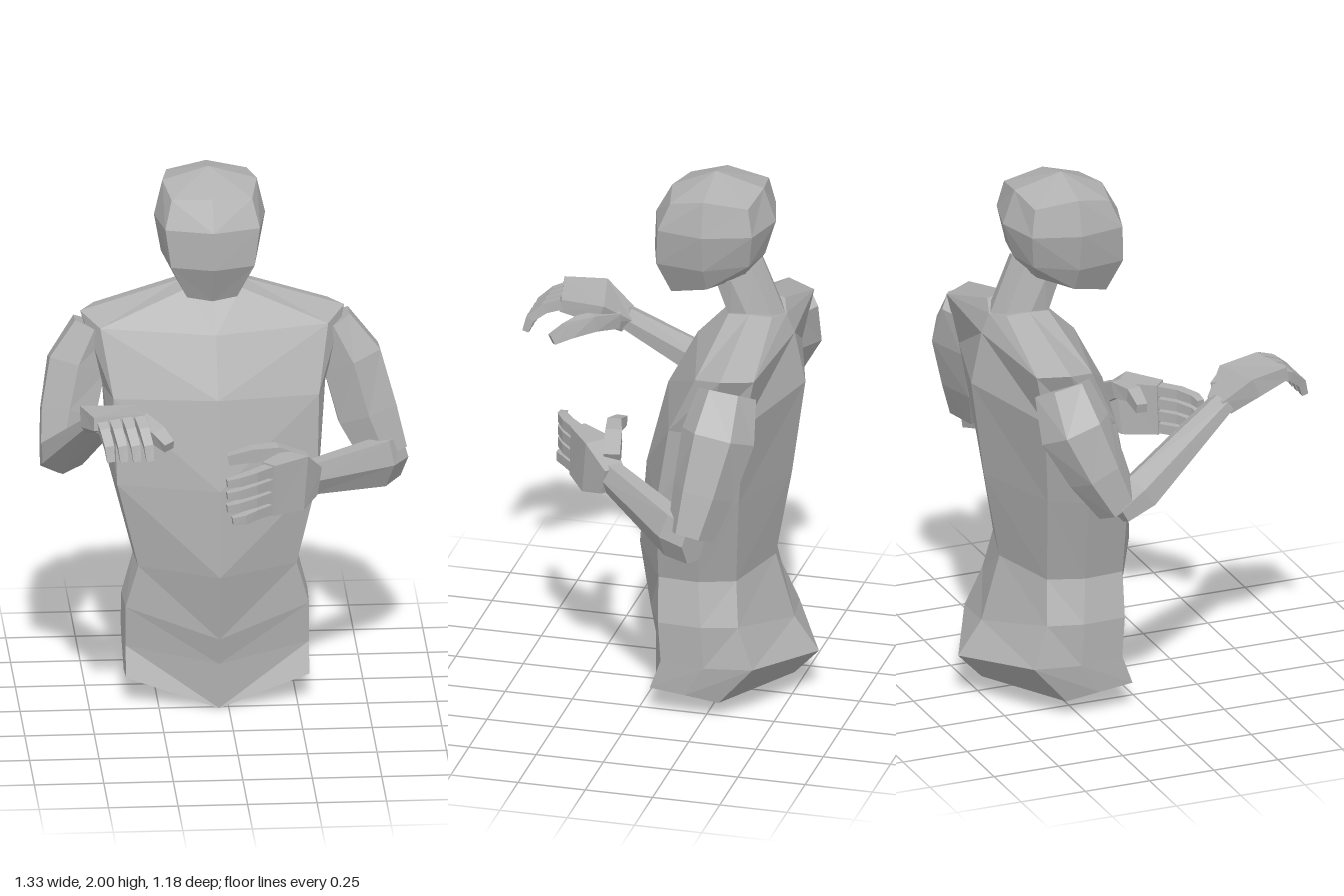
import * as THREE from 'three';

const skin = new THREE.MeshStandardMaterial({ color: 0xb0b0b0, flatShading: true });
skin.name = 'grey clay';

const average = (ring) => ring
  .reduce((sum, p) => sum.add(p), new THREE.Vector3())
  .divideScalar(ring.length);

// Skins a stack of rings and closes both ends with fans.
function skinRings(name, rings, start = average(rings[0]), end = average(rings[rings.length - 1])) {
  const out = [];
  const tri = (...pts) => pts.forEach((p) => out.push(p.x, p.y, p.z));
  const n = rings[0].length;
  const last = rings[rings.length - 1];
  for (let k = 0; k < n; k++) {
    const m = (k + 1) % n;
    for (let i = 0; i < rings.length - 1; i++) {
      const a = rings[i], b = rings[i + 1];
      // Diagonals mirror between the two halves
      if (k < n / 2) {
        tri(a[k], a[m], b[m]);
        tri(a[k], b[m], b[k]);
      } else {
        tri(a[k], a[m], b[k]);
        tri(a[m], b[m], b[k]);
      }
    }
    tri(start, rings[0][m], rings[0][k]);
    tri(end, last[k], last[m]);
  }
  const geo = new THREE.BufferGeometry();
  geo.setAttribute('position', new THREE.Float32BufferAttribute(out, 3));
  geo.computeVertexNormals();
  const mesh = new THREE.Mesh(geo, skin);
  mesh.name = name;
  return mesh;
}

// Mirrors a half section (front centre ... back centre) into a full ring.
function mirrorRing(half, cx) {
  const left = half.map(([x, y, z]) => new THREE.Vector3(cx + x, y, z));
  const right = half.slice(1, -1).reverse().map(([x, y, z]) => new THREE.Vector3(cx - x, y, z));
  return [...left, ...right];
}

// Lofts along [x, y, z, halfWidth, halfThickness]; width follows the hint axis.
function loft(name, path, sides, hint) {
  const pts = path.map(([x, y, z]) => new THREE.Vector3(x, y, z));
  const grow = sides === 4 ? Math.SQRT2 : 1.08;
  const rings = path.map(([, , , w, h], i) => {
    const t = pts[Math.min(i + 1, pts.length - 1)].clone()
      .sub(pts[Math.max(i - 1, 0)]).normalize();
    const u = new THREE.Vector3(...hint);
    u.addScaledVector(t, -u.dot(t)).normalize();
    const v = t.clone().cross(u);
    return Array.from({ length: sides }, (_, k) => {
      const a = ((k + 0.5) / sides) * Math.PI * 2;
      return pts[i].clone()
        .addScaledVector(u, Math.cos(a) * w * grow)
        .addScaledVector(v, Math.sin(a) * h * grow);
    });
  });
  return skinRings(name, rings);
}

export function createModel() {
  const model = new THREE.Group();
  model.name = 'upperBody';
  const cx = -0.035;

  // Torso: hips, waist, chest, shoulders, neck base
  const torso = [
    [[0, 0, 0.016], [0.33, 0.1, -0.05], [0.33, 0.085, -0.18], [0.31, 0.06, -0.3], [0, 0.07, -0.5]],
    [[0, 0.17, 0.016], [0.33, 0.21, -0.09], [0.335, 0.2, -0.25], [0.325, 0.21, -0.43], [0, 0.165, -0.59]],
    [[0, 0.27, 0.035], [0.33, 0.36, -0.08], [0.335, 0.36, -0.24], [0.3, 0.36, -0.37], [0, 0.29, -0.5]],
    [[0, 0.52, 0.075], [0.285, 0.52, -0.07], [0.295, 0.52, -0.22], [0.25, 0.52, -0.35], [0, 0.53, -0.43]],
    [[0, 0.84, 0.05], [0.36, 0.83, -0.08], [0.38, 0.85, -0.24], [0.33, 0.86, -0.38], [0, 0.86, -0.49]],
    [[0, 1.16, -0.03], [0.37, 1.14, -0.13], [0.4, 1.15, -0.25], [0.4, 1.2, -0.42], [0, 1.22, -0.54]],
    [[0, 1.37, -0.14], [0.41, 1.37, -0.24], [0.475, 1.4, -0.35], [0.42, 1.39, -0.46], [0, 1.41, -0.5]],
    [[0, 1.48, -0.26], [0.1, 1.5, -0.28], [0.11, 1.51, -0.36], [0.09, 1.5, -0.44], [0, 1.48, -0.47]],
  ];
  model.add(skinRings('torso', torso.map((r) => mirrorRing(r, cx)),
    new THREE.Vector3(cx, 0.03, -0.24)));

  // Neck leans forward into the head
  const neck = [
    [[0, 1.45, -0.27], [0.09, 1.46, -0.29], [0.1, 1.48, -0.36], [0.07, 1.48, -0.44], [0, 1.47, -0.47]],
    [[0, 1.6, -0.21], [0.08, 1.61, -0.23], [0.1, 1.63, -0.29], [0.07, 1.67, -0.36], [0, 1.69, -0.38]],
  ];
  model.add(skinRings('neck', neck.map((r) => mirrorRing(r, cx))));

  // Head: jaw, cheeks, brow, crown
  const head = [
    [[0, 1.54, -0.04], [0.09, 1.55, -0.06], [0.13, 1.59, -0.2], [0.09, 1.64, -0.33], [0, 1.66, -0.36]],
    [[0, 1.68, 0.025], [0.15, 1.68, -0.02], [0.175, 1.68, -0.2], [0.13, 1.7, -0.36], [0, 1.7, -0.385]],
    [[0, 1.82, 0.02], [0.17, 1.82, -0.03], [0.2, 1.82, -0.2], [0.165, 1.83, -0.38], [0, 1.83, -0.425]],
    [[0, 1.93, -0.04], [0.145, 1.92, -0.07], [0.17, 1.95, -0.2], [0.145, 1.93, -0.36], [0, 1.955, -0.38]],
  ];
  model.add(skinRings('head', head.map((r) => mirrorRing(r, -0.055)),
    undefined, new THREE.Vector3(-0.06, 2, -0.2)));

  // Left arm, folded across the belly
  const up = [0, 1, 0], side = [1, 0, 0];
  model.add(
    loft('leftUpperArm', [
      [0.395, 1.34, -0.365, 0.075, 0.1], [0.465, 1.2, -0.35, 0.115, 0.125],
      [0.52, 1.0, -0.31, 0.115, 0.105], [0.58, 0.85, -0.28, 0.09, 0.08],
    ], 6, side),
    loft('leftForearm', [
      [0.615, 0.84, -0.3, 0.08, 0.055], [0.56, 0.845, -0.21, 0.09, 0.06],
      [0.27, 0.905, 0.1, 0.06, 0.045],
    ], 6, up),
    loft('leftPalm', [
      [0.29, 0.9, 0.09, 0.05, 0.04], [0.225, 0.925, 0.165, 0.1, 0.055],
      [0.125, 0.93, 0.265, 0.095, 0.03],
    ], 4, up),
    loft('leftThumb', [
      [0.26, 0.96, 0.1, 0.04, 0.03], [0.16, 1.015, 0.12, 0.03, 0.03],
      [0.08, 1.02, 0.14, 0.025, 0.025], [-0.01, 1.0, 0.135, 0.018, 0.02],
    ], 4, up),
  );

  // Right arm, forearm raised forward
  model.add(
    loft('rightUpperArm', [
      [-0.465, 1.34, -0.365, 0.075, 0.1], [-0.525, 1.2, -0.34, 0.11, 0.125],
      [-0.56, 1.04, -0.27, 0.105, 0.105], [-0.59, 0.9, -0.2, 0.08, 0.075],
    ], 6, side),
    loft('rightForearm', [
      [-0.6, 0.89, -0.21, 0.07, 0.05], [-0.59, 0.94, -0.12, 0.08, 0.07],
      [-0.48, 1.19, 0.25, 0.06, 0.035],
    ], 6, side),
    loft('rightPalm', [
      [-0.48, 1.18, 0.24, 0.05, 0.03], [-0.455, 1.25, 0.33, 0.105, 0.038],
      [-0.425, 1.275, 0.47, 0.095, 0.024],
    ], 4, side),
    loft('rightThumb', [
      [-0.42, 1.21, 0.27, 0.035, 0.03], [-0.34, 1.22, 0.34, 0.035, 0.03],
      [-0.28, 1.2, 0.41, 0.028, 0.025], [-0.245, 1.175, 0.46, 0.02, 0.018],
    ], 4, side),
  );

  // Curled fingers, four on each hand
  for (let i = 0; i < 4; i++) {
    const y = 1.0 - i * 0.048;
    const short = i === 3 ? 0.02 : 0;
    model.add(loft('leftFinger', [
      [0.14, y, 0.25, 0.019, 0.022], [0.07, y, 0.315, 0.018, 0.02],
      [0.01 + short, y - 0.005, 0.35, 0.017, 0.018],
      [-0.03 + short, y - 0.01, 0.355, 0.014, 0.014],
    ], 4, up));
    const x = -0.492 + i * 0.047;
    model.add(loft('rightFinger', [
      [x, 1.275, 0.45, 0.019, 0.02], [x + 0.012, 1.255, 0.51, 0.018, 0.018],
      [x + 0.025, 1.215, 0.56, 0.017, 0.016],
      [x + 0.03, 1.165, 0.575, 0.014, 0.012],
    ], 4, side));
  }
  return model;
}
